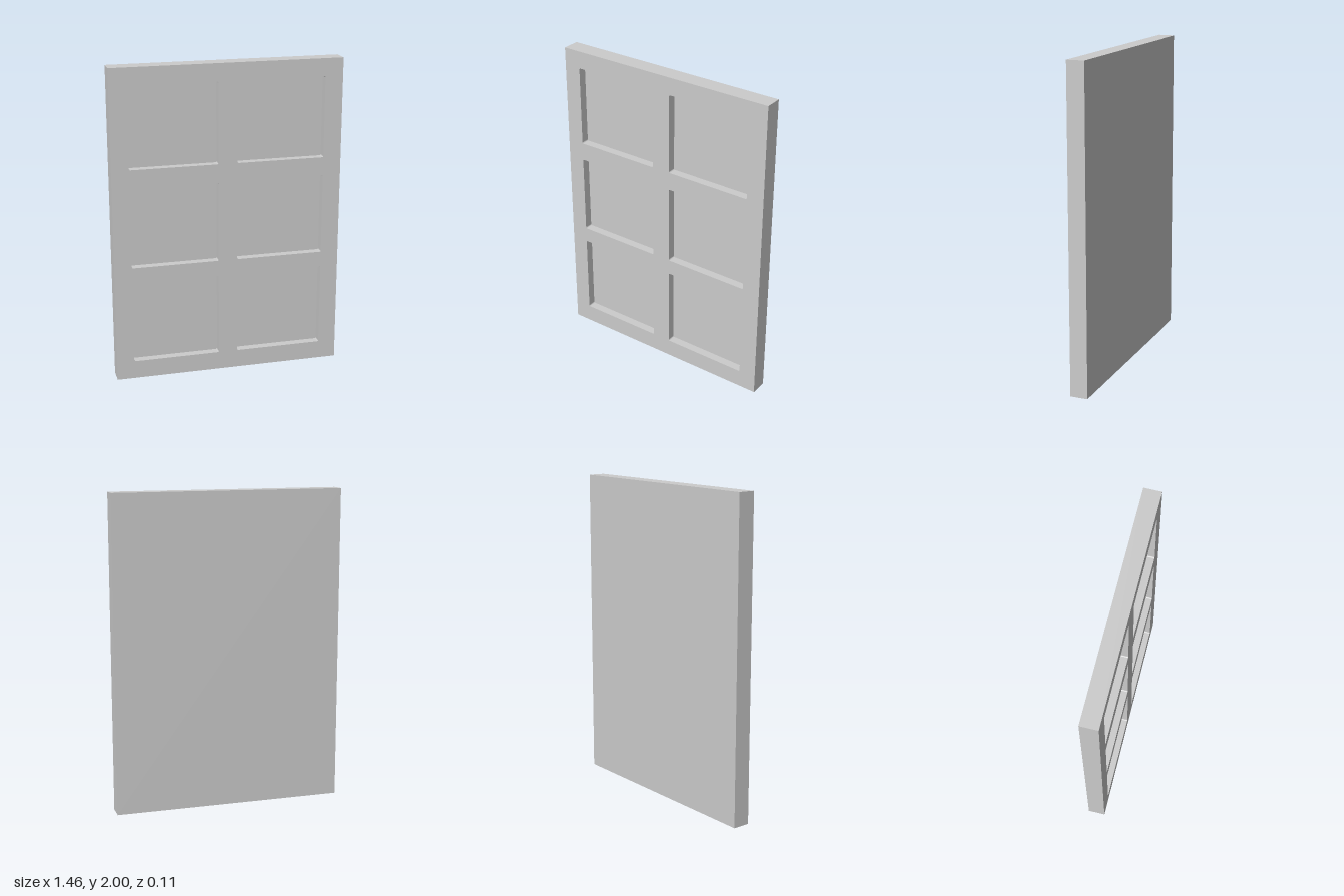
import * as THREE from 'three';

const WIDTH = 1.455, HEIGHT = 2, DEPTH = 0.11;
const FRONT = DEPTH / 2, FLOOR = 0.002; // z of the front face and of the recess floors
const CORNER = 0.008;
const COLUMNS = [[-0.619, -0.063], [0.058, 0.614]];
const ROWS = [[0.116, 0.646], [0.746, 1.259], [1.376, 1.889]];

// Counter-clockwise rectangle with slightly rounded corners
function roundedRect([x0, x1], [y0, y1], r) {
  const s = new THREE.Shape();
  s.absarc(x1 - r, y0 + r, r, -Math.PI / 2, 0);
  s.absarc(x1 - r, y1 - r, r, 0, Math.PI / 2);
  s.absarc(x0 + r, y1 - r, r, Math.PI / 2, Math.PI);
  s.absarc(x0 + r, y0 + r, r, Math.PI, Math.PI * 1.5);
  s.closePath();
  return s;
}

// Inward-facing walls running from the front face down to the recess floor
function recessWalls(shape) {
  const pts = shape.getPoints(3);
  const pos = [];
  for (let i = 0; i < pts.length; i++) {
    const a = pts[i], b = pts[(i + 1) % pts.length];
    if (a.distanceTo(b) < 1e-6) continue;
    pos.push(a.x, a.y, FRONT, b.x, b.y, FRONT, a.x, a.y, FLOOR);
    pos.push(b.x, b.y, FRONT, b.x, b.y, FLOOR, a.x, a.y, FLOOR);
  }
  const g = new THREE.BufferGeometry();
  g.setAttribute('position', new THREE.Float32BufferAttribute(pos, 3));
  g.computeVertexNormals();
  return g;
}

export function createModel() {
  const group = new THREE.Group();
  group.name = 'panelledDoor';
  const material = new THREE.MeshStandardMaterial({ color: 0xcccccc });
  const add = (name, geometry, parent = group) => {
    const mesh = new THREE.Mesh(geometry, material);
    mesh.name = name;
    parent.add(mesh);
    return mesh;
  };

  // Slab: back and edges, with the +z side left out
  const slab = new THREE.BoxGeometry(WIDTH, HEIGHT, DEPTH);
  const index = Array.from(slab.index.array);
  index.splice(24, 6);
  slab.setIndex(index);
  slab.clearGroups();
  add('slab', slab).position.y = HEIGHT / 2;

  // Front face, pierced by the six recesses
  const face = roundedRect([-WIDTH / 2, WIDTH / 2], [0, HEIGHT], 0);
  for (const row of ROWS) {
    for (const column of COLUMNS) {
      const outline = roundedRect(column, row, CORNER);
      face.holes.push(outline);

      const recess = new THREE.Group();
      recess.name = 'recess';
      group.add(recess);
      add('recessWalls', recessWalls(outline), recess);
      add('recessFloor', new THREE.ShapeGeometry(outline, 3), recess).position.z = FLOOR;
    }
  }
  add('frontFrame', new THREE.ShapeGeometry(face, 3)).position.z = FRONT;

  return group;
}
